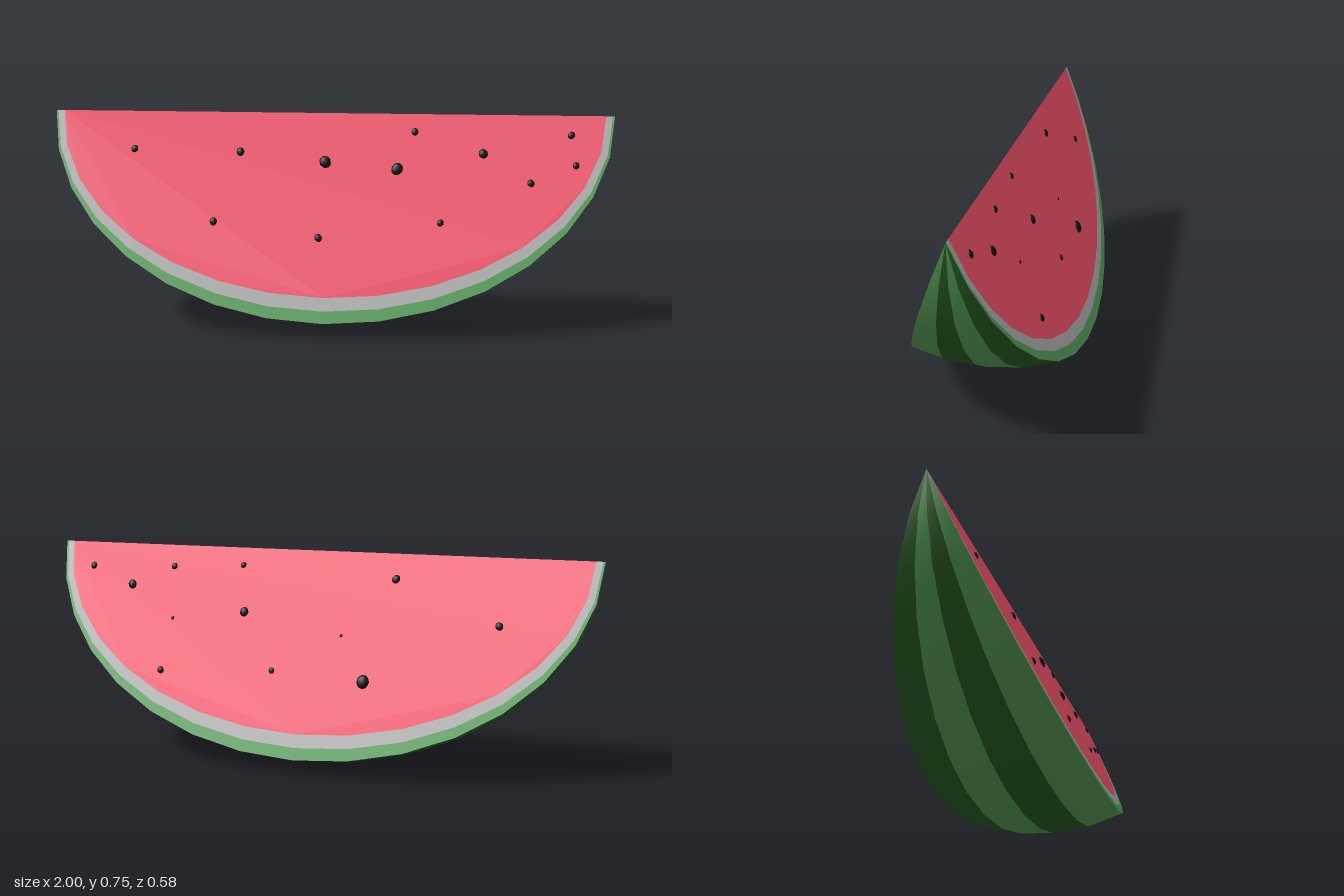
import * as THREE from 'three';

const TOP = 0.755;               // height of the straight cut edge
const RADIUS = 0.752;            // depth of the wedge
const HALF = Math.PI / 8;        // half of the wedge angle
const SEGMENTS = 16;

const material = (color) => new THREE.MeshStandardMaterial({ color, side: THREE.DoubleSide });

// Arc from end to end, at one angle around the long axis
function arc(scaleX, scaleR, angle) {
  const points = [];
  for (let k = 0; k <= SEGMENTS; k++) {
    const t = (k / SEGMENTS) * Math.PI;
    const r = RADIUS * scaleR * Math.sin(t);
    points.push([-Math.cos(t) * scaleX, TOP - r * Math.cos(angle), r * Math.sin(angle)]);
  }
  return points;
}

// Surface stretched between two arcs
function strip(name, a, b, mat) {
  const n = a.length, index = [];
  for (let k = 0; k < n - 1; k++) {
    if (k < n - 2) index.push(n + k, k + 1, n + k + 1);
    else index.push(k, k + 1, n + k);
    if (k > 0 && k < n - 2) index.push(k, k + 1, n + k);
  }
  const geometry = new THREE.BufferGeometry();
  geometry.setAttribute('position', new THREE.Float32BufferAttribute([...a, ...b].flat(), 3));
  geometry.setIndex(index);
  geometry.computeVertexNormals();
  const mesh = new THREE.Mesh(geometry, mat);
  mesh.name = name;
  return mesh;
}

// Flesh reaches the long axis, so its inner border is a straight line
function flesh(name, side, mat) {
  const shape = new THREE.Shape(arc(0.97, 0.88, 0).map(([x, y]) => new THREE.Vector2(x, y - TOP)));
  const mesh = new THREE.Mesh(new THREE.ShapeGeometry(shape), mat);
  mesh.name = name;
  mesh.position.y = TOP;
  mesh.rotation.order = 'YXZ';
  mesh.rotation.y = side > 0 ? 0 : Math.PI;
  mesh.rotation.x = -HALF;
  return mesh;
}

export function createModel() {
  const model = new THREE.Group();
  model.name = 'watermelonWedge';

  const red = material(0xff566f);
  const pale = material(0xb8b8b8);
  const green = material(0x59a65d);
  const lightStripe = material(0x549a54);
  const darkStripe = material(0x265a20);
  const black = new THREE.MeshStandardMaterial({ color: 0x111111 });

  // Striped skin, four sectors from back to front
  for (let j = 0; j < 4; j++) {
    const a0 = -HALF + (j * HALF) / 2;
    model.add(strip('skinStripe', arc(1, 1, a0), arc(1, 1, a0 + HALF / 2), j % 2 ? lightStripe : darkStripe));
  }

  // Two cut faces: green edge, pale rind, red flesh
  for (const side of [1, -1]) {
    const layer = (name, outer, inner, mat) => {
      const a = arc(...outer, side * HALF), b = arc(...inner, side * HALF);
      // Rings are open at both ends, so close them as quads
      const n = a.length, index = [];
      for (let k = 0; k < n - 1; k++) index.push(k, k + 1, n + k, n + k, k + 1, n + k + 1);
      const mesh = strip(name, side > 0 ? a : b, side > 0 ? b : a, mat);
      mesh.geometry.setIndex(index);
      mesh.geometry.computeVertexNormals();
      model.add(mesh);
    };
    layer('rindEdge', [1, 1], [0.993, 0.943], green);
    layer('paleRind', [0.993, 0.943], [0.97, 0.88], pale);
    model.add(flesh(side > 0 ? 'frontFlesh' : 'backFlesh', side, red));
  }

  // Seeds: x, distance down from the cut edge, size
  const frontSeeds = [
    [-0.7, 0.13, 0.7], [-0.315, 0.135, 0.8], [-0.01, 0.165, 1.15], [0.245, 0.185, 1.15],
    [0.305, 0.06, 0.7], [0.545, 0.13, 0.9], [0.85, 0.065, 0.7], [0.865, 0.165, 0.65],
    [0.71, 0.225, 0.7], [0.4, 0.36, 0.65], [-0.4, 0.37, 0.75], [-0.025, 0.417, 0.75],
  ];
  const backSeeds = [
    [-0.67, 0.22, 0.75], [-0.22, 0.425, 1.25], [-0.125, 0.28, 0.3], [0.115, 0.41, 0.6],
    [0.245, 0.22, 0.9], [0.27, 0.06, 0.6], [0.54, 0.435, 0.7], [0.52, 0.255, 0.35],
    [0.54, 0.075, 0.65], [0.7, 0.145, 0.9], [0.87, 0.085, 0.7], [-0.3, 0.085, 0.8],
  ];
  const seedGeometry = new THREE.IcosahedronGeometry(1, 1);
  [[frontSeeds, 1], [backSeeds, -1]].forEach(([list, side]) => {
    list.forEach(([x, drop, size], i) => {
      const seed = new THREE.Mesh(seedGeometry, black);
      seed.name = 'seed';
      seed.position.set(x, TOP - drop, side * drop * Math.tan(HALF));
      seed.rotation.set(-side * HALF, 0, (i % 3 - 1) * 0.5);
      seed.scale.set(0.018 * size, 0.02 * size, 0.011 * size);
      model.add(seed);
    });
  });

  return model;
}
